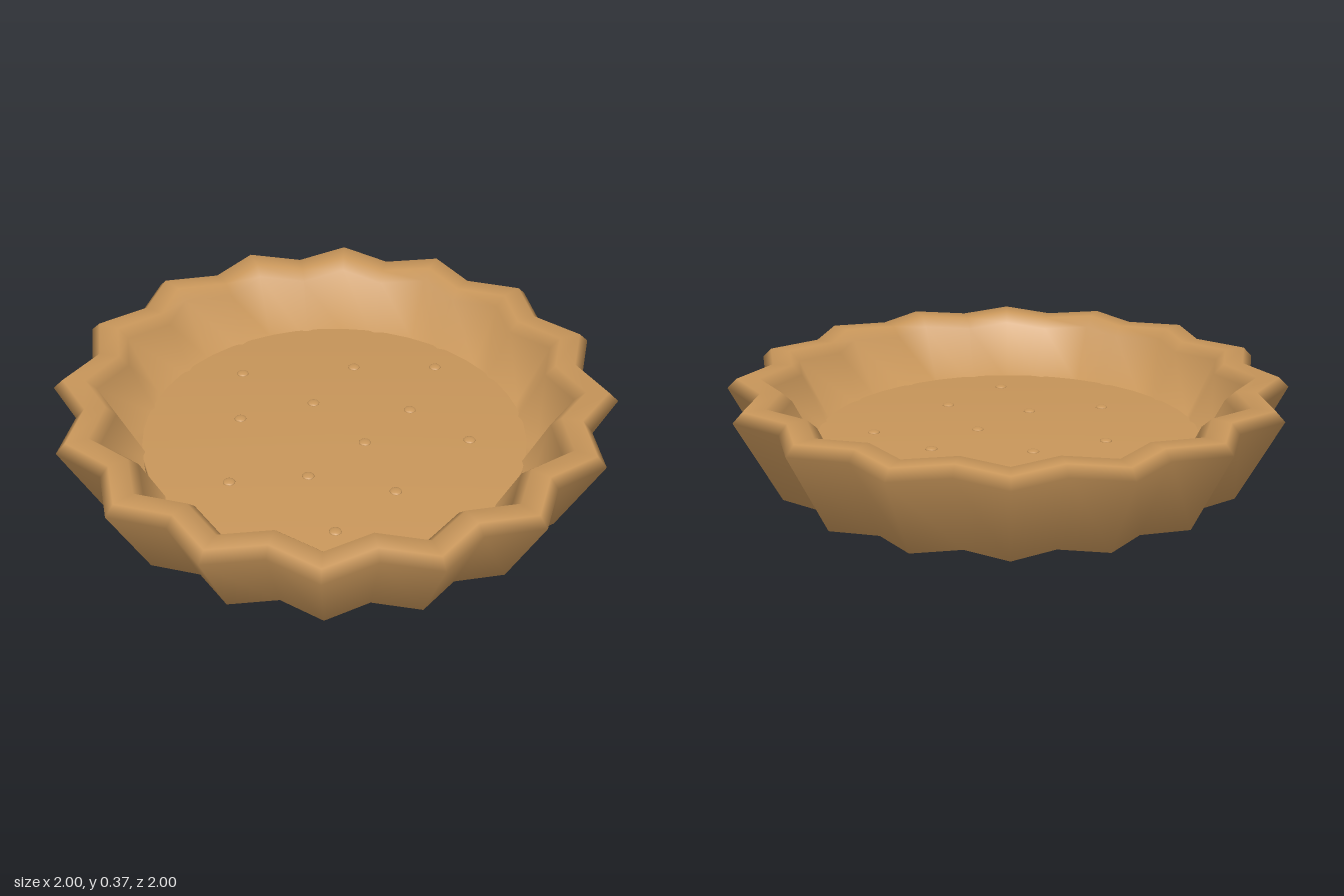
import * as THREE from 'three';
import { mergeVertices } from 'three/addons/utils/BufferGeometryUtils.js';

const SCALLOPS = 16;
const FLOOR_Y = 0.16;

// Weld a geometry so its normals run smoothly over every edge
function smooth(geometry) {
  geometry.deleteAttribute('normal');
  geometry.deleteAttribute('uv');
  const welded = mergeVertices(geometry, 1e-4);
  welded.computeVertexNormals();
  return welded;
}

// Turned shell whose radius ripples in and out around the rim
function flutedShell() {
  const profile = [
    [0, 0], [0.72, 0], [0.84, 0.035], [1, 0.335], [0.965, 0.37],
    [0.885, 0.37], [0.845, 0.335], [0.73, 0.125], [0, 0.125],
  ].map(([r, y]) => new THREE.Vector2(r, y));
  const geometry = new THREE.LatheGeometry(profile, SCALLOPS * 2);
  const p = geometry.attributes.position;
  for (let i = 0; i < p.count; i++) {
    const angle = Math.atan2(p.getX(i), p.getZ(i));
    const k = 1 - 0.046 * (1 - Math.cos(angle * SCALLOPS));
    p.setX(i, p.getX(i) * k);
    p.setZ(i, p.getZ(i) * k);
  }
  return smooth(geometry);
}

export function createModel() {
  const model = new THREE.Group();
  model.name = 'pieCrust';
  const crust = new THREE.MeshStandardMaterial({ color: 0xc8965a });
  crust.name = 'baked crust';

  const add = (name, geometry, x = 0, y = 0, z = 0) => {
    const mesh = new THREE.Mesh(geometry, crust);
    mesh.name = name;
    mesh.position.set(x, y, z);
    model.add(mesh);
    return mesh;
  };

  add('flutedShell', flutedShell());

  // Round pastry floor, just reaching into the inner flutes
  const floor = smooth(new THREE.CylinderGeometry(0.69, 0.69, 0.04, 48));
  add('pastryFloor', floor, 0, FLOOR_Y - 0.02, 0);

  // Small flattened fork marks scattered over the floor
  const mark = new THREE.SphereGeometry(0.022, 12, 8);
  mark.scale(1, 0.35, 1);
  const spots = [
    [0.17, -0.545], [-0.11, -0.415], [0.19, -0.25], [0.455, -0.17],
    [-0.475, -0.2], [-0.15, -0.14], [0.12, 0], [-0.35, 0.06],
    [0.02, 0.26], [0.33, 0.21], [-0.215, 0.405], [0.23, 0.49],
  ];
  spots.forEach(([x, z], i) => add(`forkMark${i + 1}`, mark, x, FLOOR_Y, z));

  return model;
}
